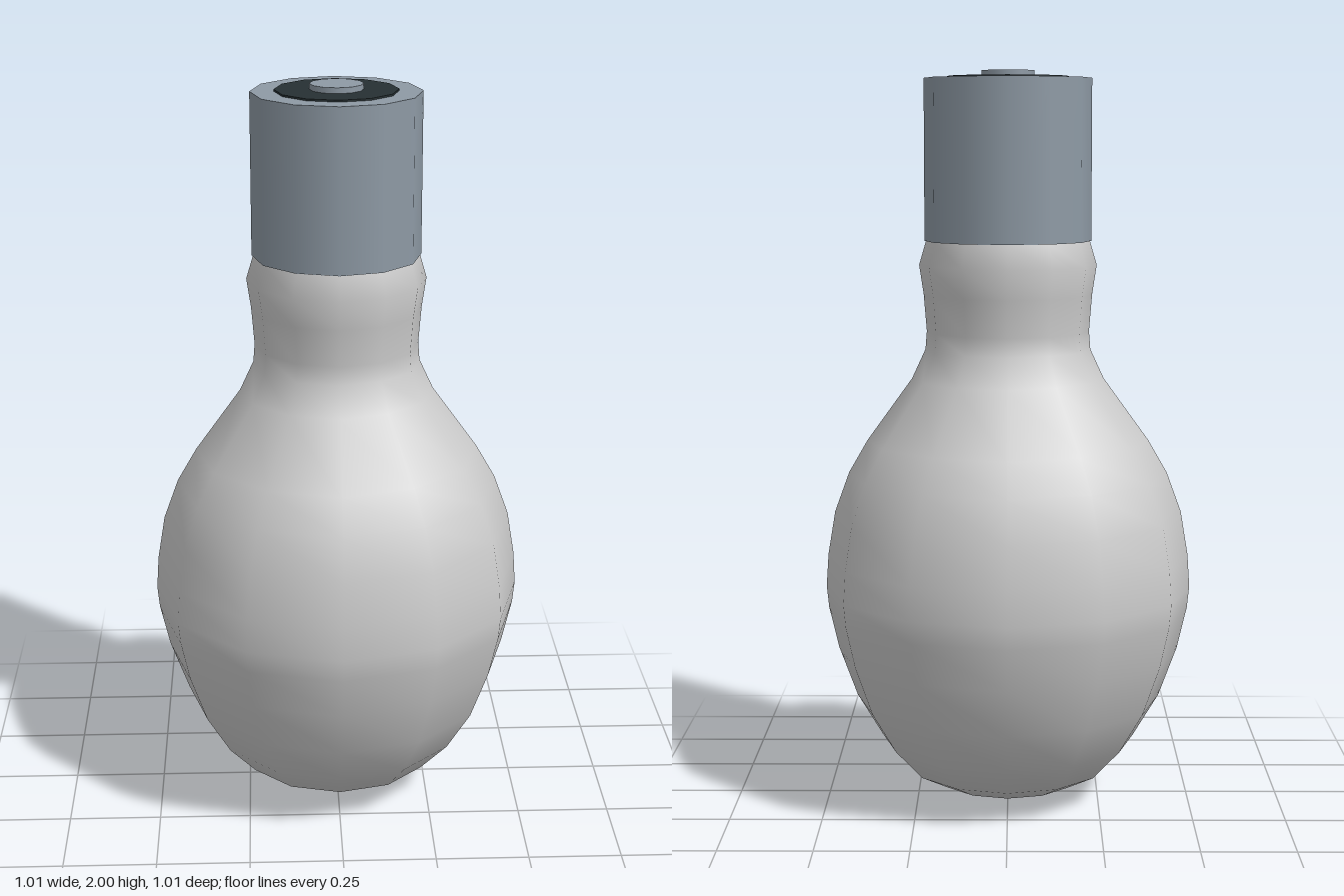
import * as THREE from 'three';

const SIDES = 12;

export function createModel() {
  const group = new THREE.Group();
  const grey = new THREE.MeshStandardMaterial({ color: 0xcccccc, side: THREE.DoubleSide });
  const metal = new THREE.MeshStandardMaterial({ color: 0x8e9aa5 });
  const dark = new THREE.MeshStandardMaterial({ color: 0x263033 });

  const add = (name, geometry, material, y = 0) => {
    const mesh = new THREE.Mesh(geometry, material);
    mesh.name = name;
    mesh.position.y = y;
    group.add(mesh);
  };
  // Upright cylinder between two heights
  const disc = (name, radius, bottom, top, material) =>
    add(name, new THREE.CylinderGeometry(radius, radius, top - bottom, SIDES), material, (bottom + top) / 2);

  // Glass bulb with its neck, from the tip upwards
  const profile = [
    [0, 0], [0.19, 0.04], [0.27, 0.08], [0.35, 0.165], [0.42, 0.28], [0.47, 0.415],
    [0.497, 0.53], [0.503, 0.59], [0.497, 0.68], [0.477, 0.8], [0.437, 0.91], [0.385, 1.0],
    [0.262, 1.17], [0.225, 1.25], [0.221, 1.3], [0.229, 1.4], [0.241, 1.48], [0.222, 1.545],
  ].map(([r, y]) => new THREE.Vector2(r, y));
  add('glassBulb', new THREE.LatheGeometry(profile, SIDES), grey);

  // Metal cap, insulating ring and centre contact
  disc('metalCap', 0.226, 1.545, 1.98, metal);
  disc('insulator', 0.163, 1.96, 1.985, dark);
  disc('contact', 0.071, 1.97, 2.0, metal);

  return group;
}
